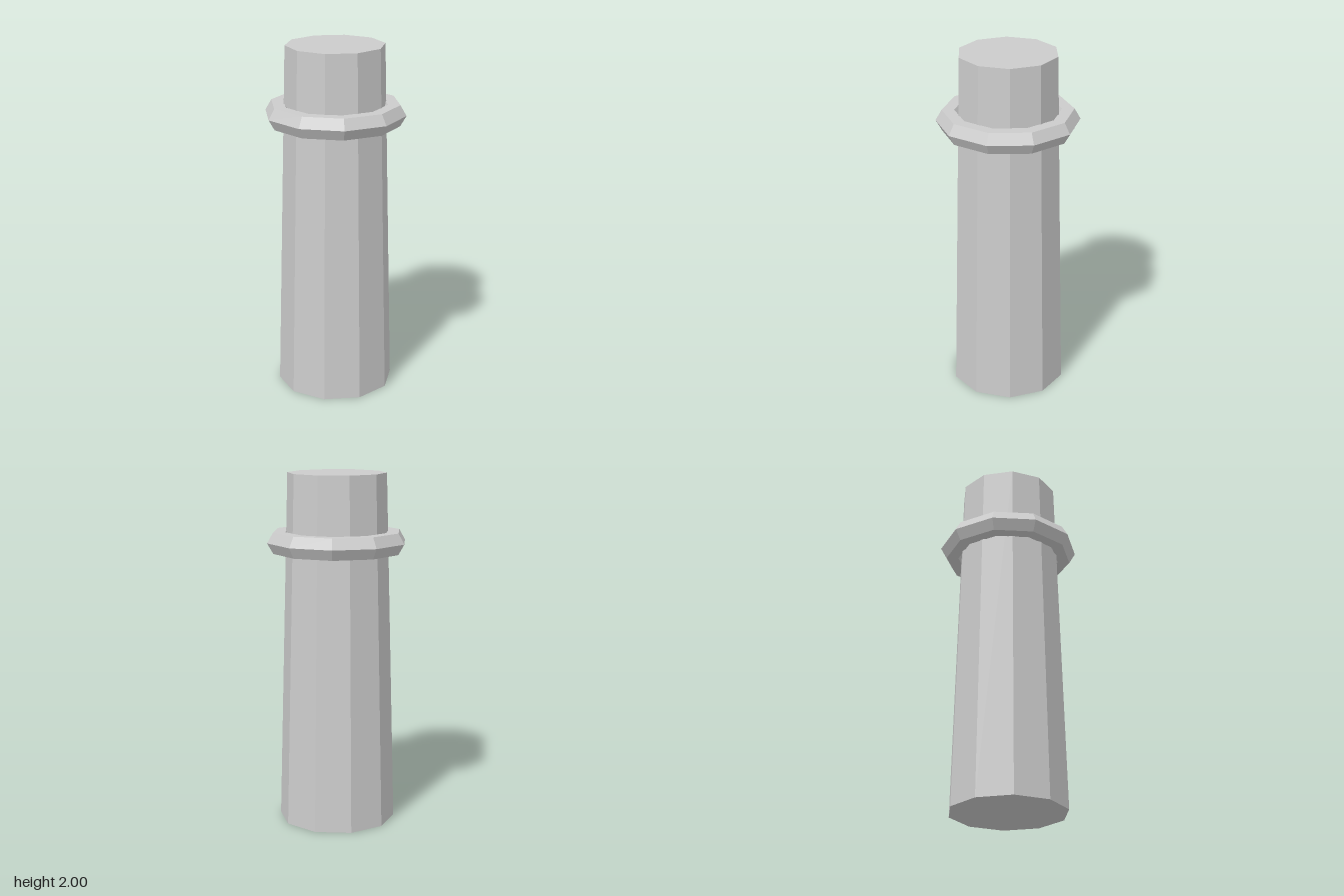
import * as THREE from 'three';

export function createModel() {
  const model = new THREE.Group();
  const material = new THREE.MeshStandardMaterial({ color: 0xcccccc, flatShading: true });

  // Tapered ten-sided column, closed at both ends
  const column = new THREE.Mesh(new THREE.CylinderGeometry(0.278, 0.333, 2, 10), material);
  column.name = 'column';
  column.position.y = 1;
  model.add(column);

  // Ten-sided collar ring with a hexagonal section
  const collar = new THREE.Mesh(new THREE.TorusGeometry(0.331, 0.069, 6, 10), material);
  collar.name = 'collarRing';
  collar.rotation.x = -Math.PI / 2;
  collar.position.y = 1.615;
  model.add(collar);

  return model;
}
